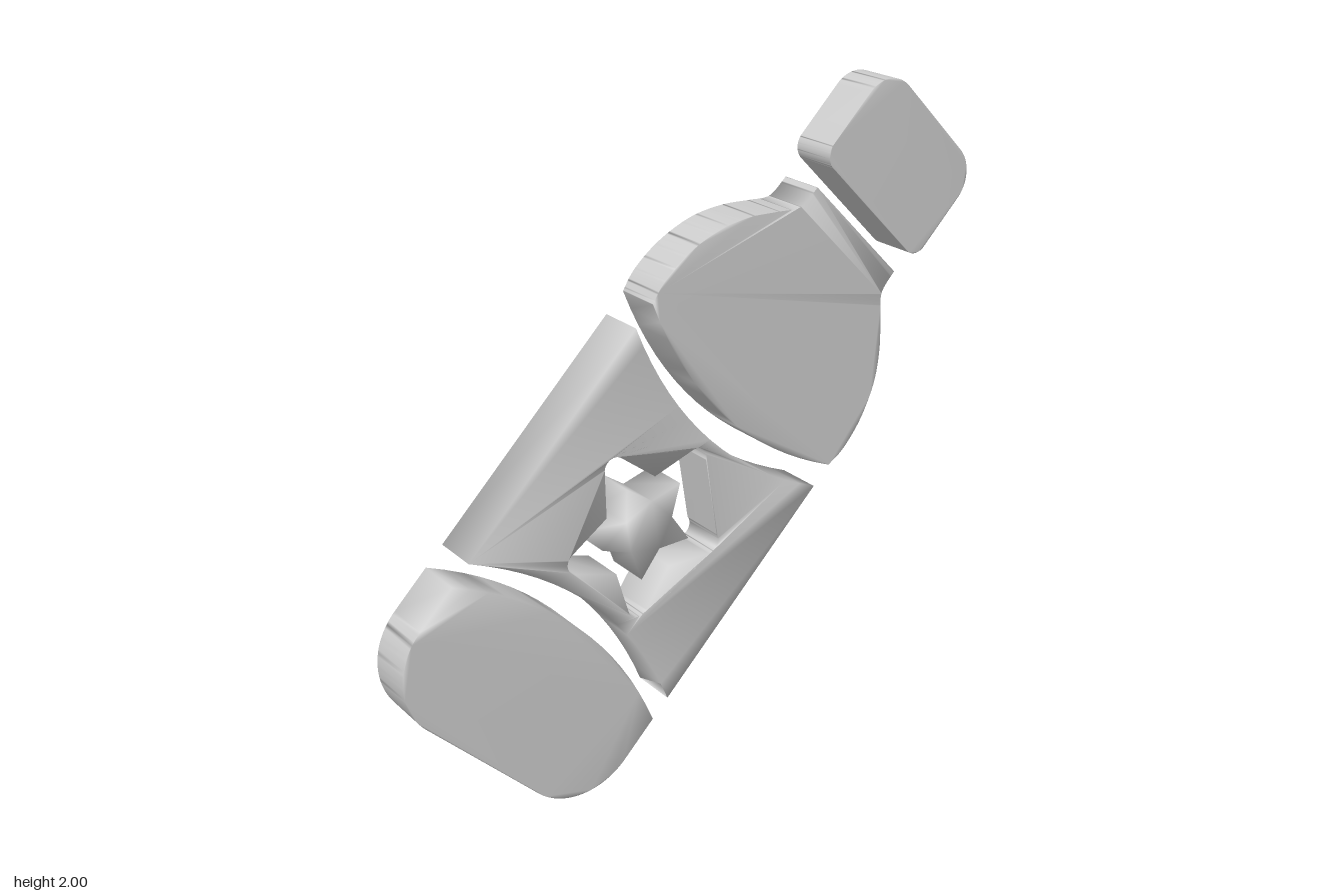
import * as THREE from 'three';
import { mergeVertices } from 'three/addons/utils/BufferGeometryUtils.js';

const DEPTH = 0.145;
const HALF = 0.462; // half width of the bottle body
const BOW = 0.1;    // how far the curved cuts between the sections bow

const material = new THREE.MeshStandardMaterial({ color: 0xcccccc });

// Extrude a flat outline about z = 0, with normals shared across the edges for a soft look
function slab(name, shape) {
  let geo = new THREE.ExtrudeGeometry(shape, { depth: DEPTH, bevelEnabled: false, curveSegments: 16 });
  geo.translate(0, 0, -DEPTH / 2);
  geo.deleteAttribute('normal');
  geo.deleteAttribute('uv');
  geo = mergeVertices(geo, 1e-4);
  geo.computeVertexNormals();
  const mesh = new THREE.Mesh(geo, material);
  mesh.name = name;
  return mesh;
}

// Five-pointed star with its first tip along +y; tips are rounded when tipRadius > 0
function star(path, cy, outer, inner, tipRadius = 0) {
  const step = Math.PI / 5;
  const half = Math.atan2(inner * Math.sin(step), outer - inner * Math.cos(step));
  const reach = outer - tipRadius / Math.sin(half);
  for (let i = 0; i < 5; i++) {
    const a = Math.PI / 2 + i * 2 * step;
    const b = a - step;
    const notch = [inner * Math.cos(b), cy + inner * Math.sin(b)];
    if (i === 0) path.moveTo(...notch);
    else path.lineTo(...notch);
    if (tipRadius > 0) {
      const sweep = Math.PI / 2 - half;
      path.absarc(reach * Math.cos(a), cy + reach * Math.sin(a), tipRadius, a - sweep, a + sweep, false);
    } else {
      path.lineTo(outer * Math.cos(a), cy + outer * Math.sin(a));
    }
  }
  path.closePath();
  return path;
}

// Rectangular cap with larger radii on the top corners
function capShape() {
  const w = 0.263, y0 = 0.873, y1 = 1.213, r = 0.05, R = 0.106;
  const s = new THREE.Shape();
  s.absarc(w - r, y0 + r, r, -Math.PI / 2, 0, false);
  s.absarc(w - R, y1 - R, R, 0, Math.PI / 2, false);
  s.absarc(-w + R, y1 - R, R, Math.PI / 2, Math.PI, false);
  s.absarc(-w + r, y0 + r, r, Math.PI, Math.PI * 1.5, false);
  s.closePath();
  return s;
}

// Domed shoulder narrowing into the neck
function shoulderShape() {
  const side = [
    [HALF, 0.226], [0.474, 0.297], [0.462, 0.4], [0.421, 0.51], [0.358, 0.598],
    [0.281, 0.672], [0.241, 0.708], [0.224, 0.74], [0.22, 0.8],
  ].map(([x, y]) => new THREE.Vector2(x, y));
  const mirrored = side.map((p) => new THREE.Vector2(-p.x, p.y)).reverse();
  const s = new THREE.Shape();
  s.moveTo(-HALF, 0.226);
  s.quadraticCurveTo(0, 0.226 - 2 * BOW, HALF, 0.226);
  s.splineThru(side.slice(1));
  s.lineTo(-0.22, 0.8);
  s.splineThru(mirrored.slice(1));
  s.closePath();
  return s;
}

// Label band with curved cuts above and below, and a star-shaped opening
function labelShape() {
  const top = 0.146, bottom = -0.638;
  const s = new THREE.Shape();
  s.moveTo(-HALF, bottom);
  s.quadraticCurveTo(0, bottom + 2 * BOW, HALF, bottom);
  s.lineTo(HALF, top);
  s.quadraticCurveTo(0, top - 2 * BOW, -HALF, top);
  s.closePath();
  s.holes.push(star(new THREE.Path(), -0.267, 0.325, 0.16, 0.035));
  return s;
}

// Bottom section with large rounded corners and a bowed top edge
function baseShape() {
  const top = -0.715, bottom = -1.077, r = 0.217;
  const s = new THREE.Shape();
  s.absarc(-HALF + r, bottom + r, r, Math.PI, Math.PI * 1.5, false);
  s.absarc(HALF - r, bottom + r, r, -Math.PI / 2, 0, false);
  s.lineTo(HALF, top);
  s.quadraticCurveTo(0, top + 2 * BOW, -HALF, top);
  s.closePath();
  return s;
}

export function createModel() {
  const model = new THREE.Group();
  model.name = 'bottleEmblem';

  // The bottle is drawn upright, then tilted to lean right
  const bottle = new THREE.Group();
  bottle.name = 'bottle';
  bottle.add(
    slab('cap', capShape()),
    slab('shoulder', shoulderShape()),
    slab('label', labelShape()),
    slab('star', star(new THREE.Shape(), -0.267, 0.16, 0.085)),
    slab('base', baseShape()),
  );
  bottle.rotation.z = -Math.PI / 4;
  bottle.position.y = 1;
  model.add(bottle);
  return model;
}
